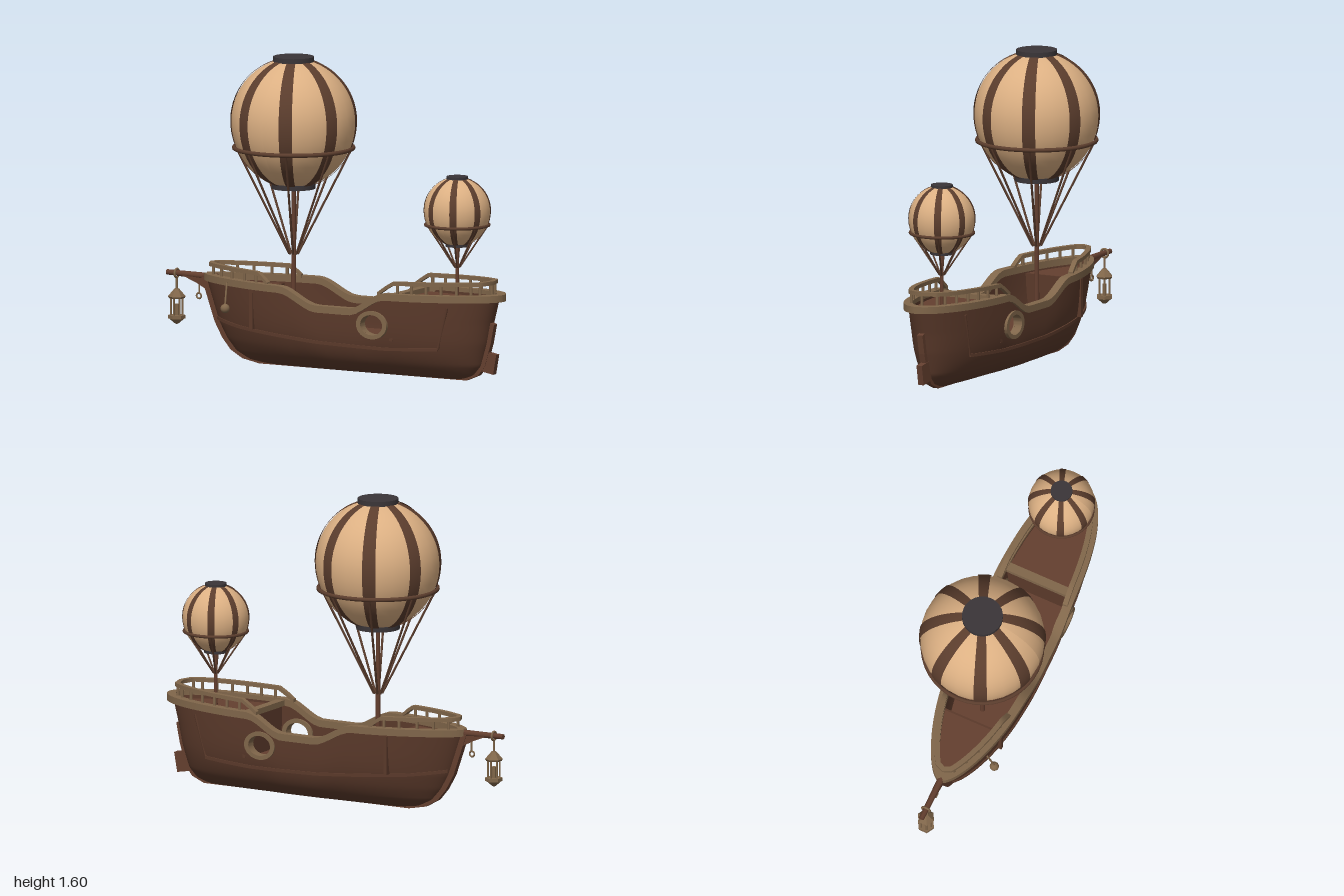
import * as THREE from 'three';
import { toCreasedNormals } from 'three/addons/utils/BufferGeometryUtils.js';

const V = (x, y, z) => new THREE.Vector3(x, y, z);
const mix = THREE.MathUtils.lerp;
const mat = (name, color) => new THREE.MeshStandardMaterial({ name, color, side: THREE.DoubleSide });

// Interpolates a small table of [key, value]; ease = smooth steps
function table(rows, k, ease = false) {
  if (k <= rows[0][0]) return rows[0][1];
  for (let i = 1; i < rows.length; i++) {
    const [k0, v0] = rows[i - 1], [k1, v1] = rows[i];
    if (k <= k1) {
      const f = (k - k0) / (k1 - k0);
      return mix(v0, v1, ease ? f * f * (3 - 2 * f) : f);
    }
  }
  return rows[rows.length - 1][1];
}

// Surface from a rule over a nu x nv grid; skip(centre) leaves openings
function grid(nu, nv, fn, skip) {
  const pts = [], pos = [], idx = [];
  for (let i = 0; i <= nu; i++) for (let j = 0; j <= nv; j++) {
    const p = fn(i / nu, j / nv, i, j);
    pts.push(p);
    pos.push(p.x, p.y, p.z);
  }
  for (let i = 0; i < nu; i++) for (let j = 0; j < nv; j++) {
    const a = i * (nv + 1) + j, b = a + nv + 1;
    if (skip && skip(pts[a].clone().add(pts[b + 1]).multiplyScalar(0.5))) continue;
    idx.push(a, b, b + 1, a, b + 1, a + 1);
  }
  const g = new THREE.BufferGeometry();
  g.setAttribute('position', new THREE.Float32BufferAttribute(pos, 3));
  g.setIndex(idx);
  g.computeVertexNormals();
  return g;
}

// Rectangular bar swept along points, kept upright
function bar(points, w, h, closed = false) {
  const n = points.length, at = (i) => points[closed ? (i + n) % n : Math.min(n - 1, Math.max(0, i))];
  const corners = [[-1, -1], [1, -1], [1, 1], [-1, 1], [-1, -1]];
  const rows = closed ? n : n + 1;
  const g = grid(rows, 4, (u, v, i, j) => {
    const k = closed ? i : Math.min(n - 1, Math.max(0, i - 1));
    const cap = !closed && (i === 0 || i === rows) ? 0 : 1;
    const t = at(k + 1).clone().sub(at(k - 1)).setY(0).normalize();
    const [a, b] = corners[j];
    return at(k).clone().add(V(-t.z * a * w / 2, b * h / 2, t.x * a * w / 2).multiplyScalar(cap));
  });
  return toCreasedNormals(g, 0.7);
}

// Hull rules: sheer line, stem and stern profiles, plan and section
const BOW = [[0, -0.42], [0.02, -0.52], [0.06, -0.59], [0.12, -0.64], [0.2, -0.685], [0.3, -0.72], [0.43, -0.765]];
const STERN = [[0, 0.76], [0.03, 0.83], [0.08, 0.87], [0.2, 0.905], [0.3, 0.925], [0.435, 0.96]];
const sheer = (x) => table([[-0.8, 0.425], [-0.22, 0.42], [0.01, 0.335], [0.2, 0.335], [0.41, 0.425], [1, 0.435]], x, true);
const section = (t) => Math.sqrt(1 - Math.pow(1 - Math.min(1, t), 3.5));
function plan(s) {
  s = Math.min(1, Math.max(0, s));
  const u = Math.max(0, (s - 0.4) / 0.6);
  return 0.206 * Math.pow(Math.sin(Math.min(1, s / 0.38) * Math.PI / 2), 0.6) * Math.sqrt(1 - Math.pow(u, 3.9));
}
const spread = (v) => (1 - Math.cos(Math.PI * v)) / 2;
function halfWidth(x, y) {
  const b = table(BOW, y), e = table(STERN, y);
  return plan((x - b) / (e - b)) * section(y / sheer(x));
}
const topWidth = (x) => plan((x + 0.765) / 1.725);
const PORT = { x: 0.333, y: 0.278, rx: 0.065, ry: 0.052 };
const inPort = (p) => ((p.x - PORT.x) / (PORT.rx + 0.01)) ** 2 + ((p.y - PORT.y) / (PORT.ry + 0.008)) ** 2 < 1;

export function createModel() {
  const root = new THREE.Group();
  const hullWood = mat('hull wood', 0x5a392a), redWood = mat('deck wood', 0x643f2f);
  const trim = mat('trim wood', 0x80664a), cloth = mat('balloon cloth', 0xdcb083);
  const band = mat('balloon band', 0x5b3d2d), iron = mat('dark iron', 0x3a3538);
  const add = (name, geo, m, parent = root) => {
    const mesh = new THREE.Mesh(geo, m);
    mesh.name = name;
    parent.add(mesh);
    return mesh;
  };
  const box = (name, m, x, y, z, w, h, d) => add(name, new THREE.BoxGeometry(w, h, d).translate(x, y, z), m);
  const rod = (name, m, a, b, r0, r1 = r0, parent = root) => {
    const d = b.clone().sub(a);
    const mesh = add(name, new THREE.CylinderGeometry(r1, r0, d.length(), 8), m, parent);
    mesh.position.copy(a).addScaledVector(d, 0.5);
    mesh.quaternion.setFromUnitVectors(V(0, 1, 0), d.normalize());
    return mesh;
  };
  const plate = (name, m, pts, depth) => add(name, new THREE.ExtrudeGeometry(
    new THREE.Shape(pts.map(([x, y]) => new THREE.Vector2(x, y))),
    { depth, bevelEnabled: false }).translate(0, 0, -depth / 2), m);

  // Hull: outer skin and inner bulwark on each side, with port openings
  for (const side of [1, -1]) {
    const skin = (inset, low) => grid(120, 36, (u, v) => {
      const s = spread(u), y = mix(low, 1, Math.pow(v, 1.4)) * sheer(mix(-0.765, 0.96, s));
      const t = y / sheer(mix(-0.765, 0.96, s));
      const z = Math.max(0, plan(s) * section(t) - inset);
      return V(mix(table(BOW, y), table(STERN, y), s), y, side * z);
    }, inPort);
    add('hullSide', skin(0, 0), hullWood);
    add('innerBulwark', skin(0.03, 0.4), hullWood);

    // Porthole frame
    const ring = new THREE.Shape().absellipse(0, 0, 0.09, 0.073, 0, Math.PI * 2);
    ring.holes.push(new THREE.Path().absellipse(0, 0, PORT.rx, PORT.ry, 0, Math.PI * 2));
    const frame = new THREE.ExtrudeGeometry(ring, { depth: 0.05, bevelEnabled: false, curveSegments: 24 });
    add('portholeFrame', toCreasedNormals(frame.translate(PORT.x, PORT.y, side > 0 ? 0.163 : -0.213), 0.6), trim);

    // Wale along the side and upright at the quarter
    const wale = [];
    for (let i = 0; i <= 40; i++) {
      const x = mix(-0.68, 0.69, i / 40);
      const y = table([[-0.7, 0.225], [-0.5, 0.2], [0, 0.165], [0.4, 0.155], [0.7, 0.17]], x);
      wale.push(V(x, y, side * (halfWidth(x, y) + 0.002)));
    }
    add('wale', bar(wale, 0.014, 0.016), hullWood);
    rod('quarterRib', hullWood, V(0.69, 0.17, side * halfWidth(0.69, 0.17)), V(0.75, 0.39, side * halfWidth(0.75, 0.39)), 0.007);
  }

  // Stem, keel and stern post
  const low = STERN.slice(0, 5);
  plate('keel', redWood, [
    ...BOW.map(([y, x]) => [x - 0.025, y]).reverse(), ...low.map(([y, x]) => [x + 0.022, y]),
    ...low.map(([y, x]) => [x - 0.02, y + 0.015]).reverse(), ...BOW.map(([y, x]) => [x + 0.02, y + 0.015]),
  ], 0.032);
  box('rudder', redWood, 0, 0, 0, 0.085, 0.105, 0.032).position.set(0.907, 0.1, -0.003);
  root.children[root.children.length - 1].rotation.z = -0.18;

  // Gunwale all round the sheer
  const gunwale = [];
  for (let i = 0; i < 160; i++) {
    const f = i / 80, s = spread(f <= 1 ? f : 2 - f), x = mix(-0.755, 0.975, s);
    gunwale.push(V(x, sheer(x) + 0.004, (f <= 1 ? 1 : -1) * Math.max(0, plan(s) - 0.008)));
  }
  add('gunwale', bar(gunwale, 0.046, 0.036, true), trim);

  // Decks and bulkheads
  const deck = (name, y, x0, x1) => add(name, grid(40, 2, (u, v) => {
    const x = mix(x0, x1, u);
    return V(x, y, (1 - 2 * v) * Math.max(0, halfWidth(x, y) - 0.004));
  }), redWood);
  deck('mainDeck', 0.2, -0.68, 0.9);
  deck('foreDeck', 0.4, -0.75, -0.4);
  deck('aftDeck', 0.415, 0.43, 0.95);
  box('foreBulkhead', hullWood, -0.4, 0.3, 0, 0.02, 0.2, 0.36);
  box('aftBulkhead', hullWood, 0.437, 0.305, 0, 0.02, 0.21, 0.38);
  box('aftDeckBeam', trim, 0.435, 0.425, 0, 0.045, 0.03, 0.37);

  // Fore and aft rails with balusters
  const rail = (name, heights, xs, tip, inset) => {
    const half = [];
    for (let i = 0; i <= 24; i++) {
      const x = mix(xs[0], xs[1], 1 - (1 - i / 24) ** 2);
      half.push(V(x, table(heights, x), Math.max(0.015, topWidth(x) - inset)));
    }
    const end = V(tip, table(heights, tip), 0);
    const other = half.map((p) => V(p.x, p.y, -p.z)).reverse();
    add(name, bar([...half, end, ...other], 0.026, 0.02), trim);
  };
  const FORE = [[-0.73, 0.498], [-0.36, 0.49], [-0.3, 0.44]], AFT = [[0.36, 0.44], [0.44, 0.498], [0.93, 0.514]];
  rail('foreRail', FORE, [-0.3, -0.715], -0.73, 0.022);
  rail('aftRail', AFT, [0.36, 0.905], 0.925, 0.018);
  const posts = (rows, xs, inset) => {
    for (const x of xs) for (const side of [1, -1]) {
      const z = side * (topWidth(x) - inset);
      rod('baluster', trim, V(x, sheer(x), z), V(x, table(rows, x), z), 0.008);
    }
  };
  posts(FORE, [-0.7, -0.63, -0.55, -0.46, -0.38], 0.022);
  posts(AFT, [0.47, 0.55, 0.63, 0.71, 0.79, 0.86, 0.9], 0.018);
  rod('baluster', trim, V(0.925, 0.43, 0), V(0.925, 0.51, 0), 0.008);

  // Bowsprit with bracket and hook
  rod('bowsprit', redWood, V(-0.7, 0.425, 0), V(-1, 0.432, 0), 0.019, 0.014);
  plate('bowspritBracket', redWood, [[-0.91, 0.425], [-0.7, 0.425], [-0.7, 0.26], [-0.735, 0.32], [-0.77, 0.365], [-0.82, 0.39]], 0.026);
  rod('hookStem', trim, V(-0.81, 0.39, 0), V(-0.81, 0.335, 0), 0.005);
  add('hook', new THREE.TorusGeometry(0.014, 0.005, 6, 14).translate(-0.812, 0.322, 0), trim);

  // Hanging lantern
  const lantern = new THREE.Group();
  lantern.name = 'lantern';
  lantern.position.x = -0.943;
  root.add(lantern);
  const turn = (name, r1, r0, y0, y1) => add(name, toCreasedNormals(
    new THREE.CylinderGeometry(r1, r0, y1 - y0, 6).translate(0, (y0 + y1) / 2, 0), 0.5), trim, lantern);
  add('lanternRing', new THREE.TorusGeometry(0.022, 0.006, 8, 16).rotateY(Math.PI / 2).translate(0, 0.43, 0), trim, lantern);
  rod('lanternHanger', trim, V(0, 0.41, 0), V(0, 0.34, 0), 0.006, 0.006, lantern);
  turn('lanternRoof', 0.012, 0.046, 0.31, 0.35);
  turn('lanternEave', 0.046, 0.04, 0.3, 0.31);
  turn('lanternCandle', 0.012, 0.012, 0.21, 0.27);
  turn('lanternBase', 0.045, 0.045, 0.195, 0.213);
  turn('lanternFoot', 0.04, 0.008, 0.168, 0.195);
  for (let i = 0; i < 6; i++) {
    const a = i * Math.PI / 3, x = 0.03 * Math.sin(a), z = 0.03 * Math.cos(a);
    rod('lanternPost', trim, V(x, 0.2, z), V(x, 0.305, z), 0.005, 0.005, lantern);
  }

  // Hanging fender on one bow
  add('fender', new THREE.SphereGeometry(0.024, 16, 12).translate(-0.54, 0.3, 0.2), trim);
  rod('fenderRope', trim, V(-0.54, 0.32, 0.2), V(-0.55, 0.43, 0.165), 0.005);

  // Balloons: envelope, bands, caps, ring, ropes and mast
  const balloon = (name, x, cy, R, foot, knot) => {
    const g = new THREE.Group();
    g.name = name;
    g.position.set(x, cy, 0);
    root.add(g);
    const at = (r, th, a) => V(r * Math.sin(th) * Math.sin(a), r * Math.cos(th) * (th > Math.PI / 2 ? 1.08 : 1), r * Math.sin(th) * Math.cos(a));
    add('envelope', grid(32, 24, (u, v) => at(R, v * Math.PI, u * Math.PI * 2)), cloth, g);
    const k = R / 0.32;
    for (let i = 0; i < 8; i++) {
      const a = (i + 0.5) * Math.PI / 4;
      add('envelopeBand', grid(4, 28, (u, v) => {
        const th = mix(0.28, Math.PI - 0.3, v), w = (0.017 + 0.017 * Math.sin(th)) / (0.32 * Math.sin(th));
        return at(R * 1.015, th, a + (u * 2 - 1) * w);
      }), band, g);
      rod('rope', band, V(0.3 * k * Math.sin(a), -0.14 * k, 0.3 * k * Math.cos(a)),
        V(0.022 * k * Math.sin(a), knot - cy, 0.022 * k * Math.cos(a)), 0.003 + 0.003 * k, 0.003 + 0.003 * k, g);
    }
    const disc = (part, r, y, h) => add(part, toCreasedNormals(new THREE.CylinderGeometry(r, r, h, 24).translate(0, y, 0), 0.6), iron, g);
    disc('topCap', 0.105 * k, 0.318 * k, 0.026 * k);
    disc('bottomCap', 0.113 * k, -0.338 * k, 0.026 * k);
    add('ropeRing', new THREE.TorusGeometry(0.306 * k, 0.005 + 0.006 * k, 8, 40).rotateX(Math.PI / 2).translate(0, -0.14 * k, 0), band, g);
    rod('mast', redWood, V(0, foot - cy, 0), V(0, -0.33 * k, 0), 0.006 + 0.008 * k, 0.005 + 0.006 * k, g);
  };
  balloon('mainBalloon', -0.25, 1.27, 0.32, 0.2, 0.58);
  balloon('aftBalloon', 0.72, 0.875, 0.17, 0.41, 0.58);

  return root;
}
